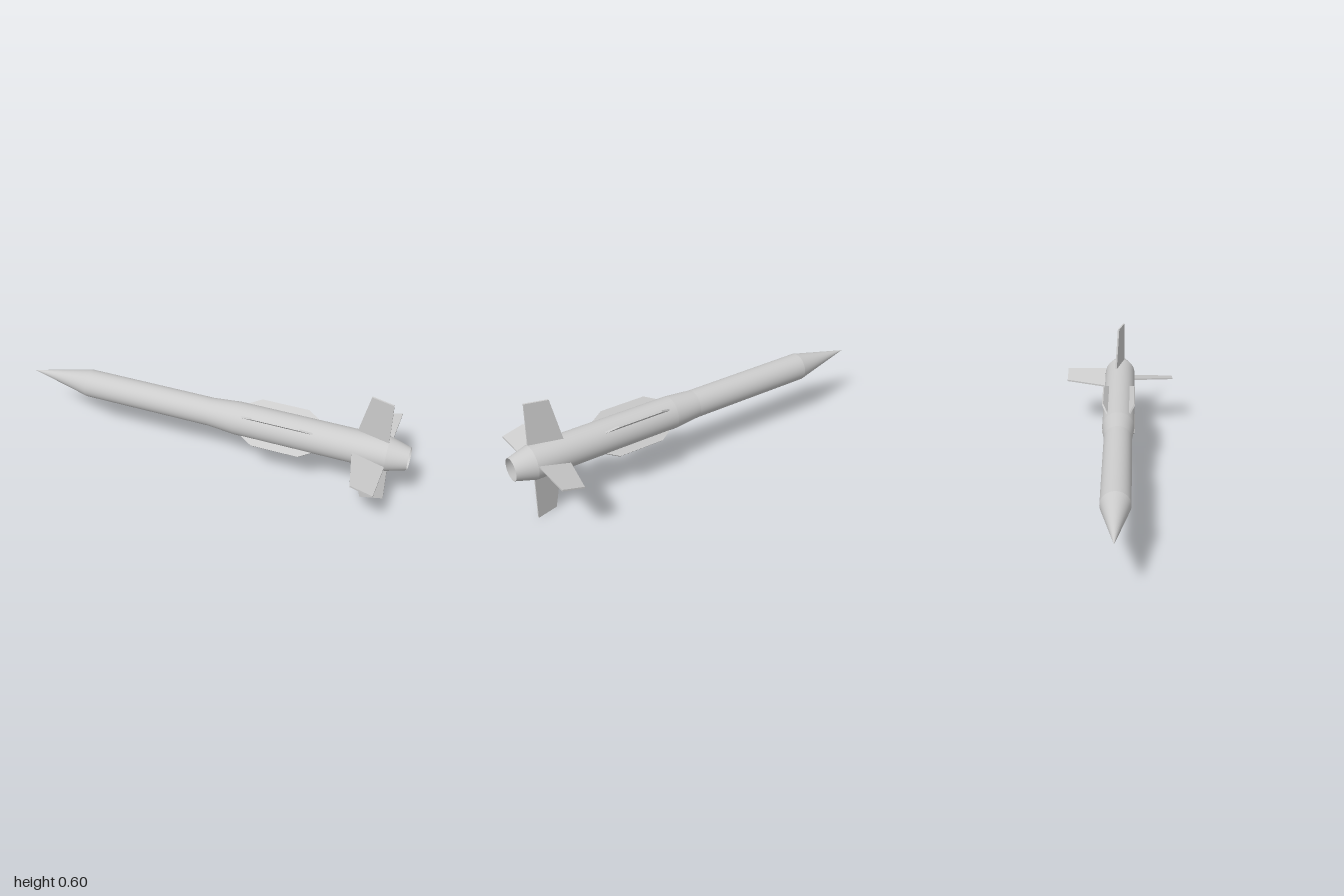
import * as THREE from 'three';

const AXIS_Y = 0.3;

export function createModel() {
  const model = new THREE.Group();
  model.name = 'missile';
  const grey = new THREE.MeshStandardMaterial({ color: 0xcccccc, side: THREE.DoubleSide });
  grey.name = 'light grey';

  // Everything is built around the x axis, nose towards -x, then lifted
  const airframe = new THREE.Group();
  airframe.name = 'airframe';
  airframe.position.y = AXIS_Y;
  model.add(airframe);

  function add(name, geometry) {
    const mesh = new THREE.Mesh(geometry, grey);
    mesh.name = name;
    airframe.add(mesh);
    return mesh;
  }

  // Round section from [x, radius] pairs
  function turned(name, profile) {
    const points = profile.map(([x, r]) => new THREE.Vector2(r, x));
    const geometry = new THREE.LatheGeometry(points, 48);
    geometry.rotateZ(-Math.PI / 2);
    return add(name, geometry);
  }

  // Flat plate in the plane of the axis, from [x, radius] corners
  function plate(corners, thickness) {
    const shape = new THREE.Shape(corners.map(([x, r]) => new THREE.Vector2(x, r)));
    const geometry = new THREE.ExtrudeGeometry(shape, { depth: thickness, bevelEnabled: false });
    return geometry.translate(0, 0, -thickness / 2);
  }

  // Hollow body, open at the tail
  turned('noseCone', [[-1, 0], [-0.675, 0.071]]);
  turned('forwardBody', [[-0.675, 0.071], [0, 0.071]]);
  turned('shoulder', [[0, 0.071], [0.14, 0.083]]);
  turned('rearBody', [[0.14, 0.083], [0.9, 0.083]]);
  turned('boatTail', [[0.9, 0.083], [1, 0.055]]);

  // Canted tail fins, sheared sideways along their chord
  const fin = plate([[0.74, 0.083], [0.9, 0.083], [0.9, 0.3], [0.79, 0.3]], 0.0085);
  fin.translate(-0.82, 0, 0);
  fin.applyMatrix4(new THREE.Matrix4().makeShear(0, 0.265, 0, 0, 0, 0));
  fin.translate(0.82, 0, 0);

  // Low trapezoid strakes, set between the fins
  const strake = plate([[0.18, 0.08], [0.54, 0.08], [0.54, 0.084], [0.48, 0.118], [0.24, 0.118], [0.18, 0.084]], 0.009);

  for (let i = 0; i < 4; i++) {
    const angle = (i * Math.PI) / 2;
    add('tailFin' + (i + 1), fin).rotation.x = angle;
    add('strake' + (i + 1), strake).rotation.x = angle + Math.PI / 4;
  }

  return model;
}
